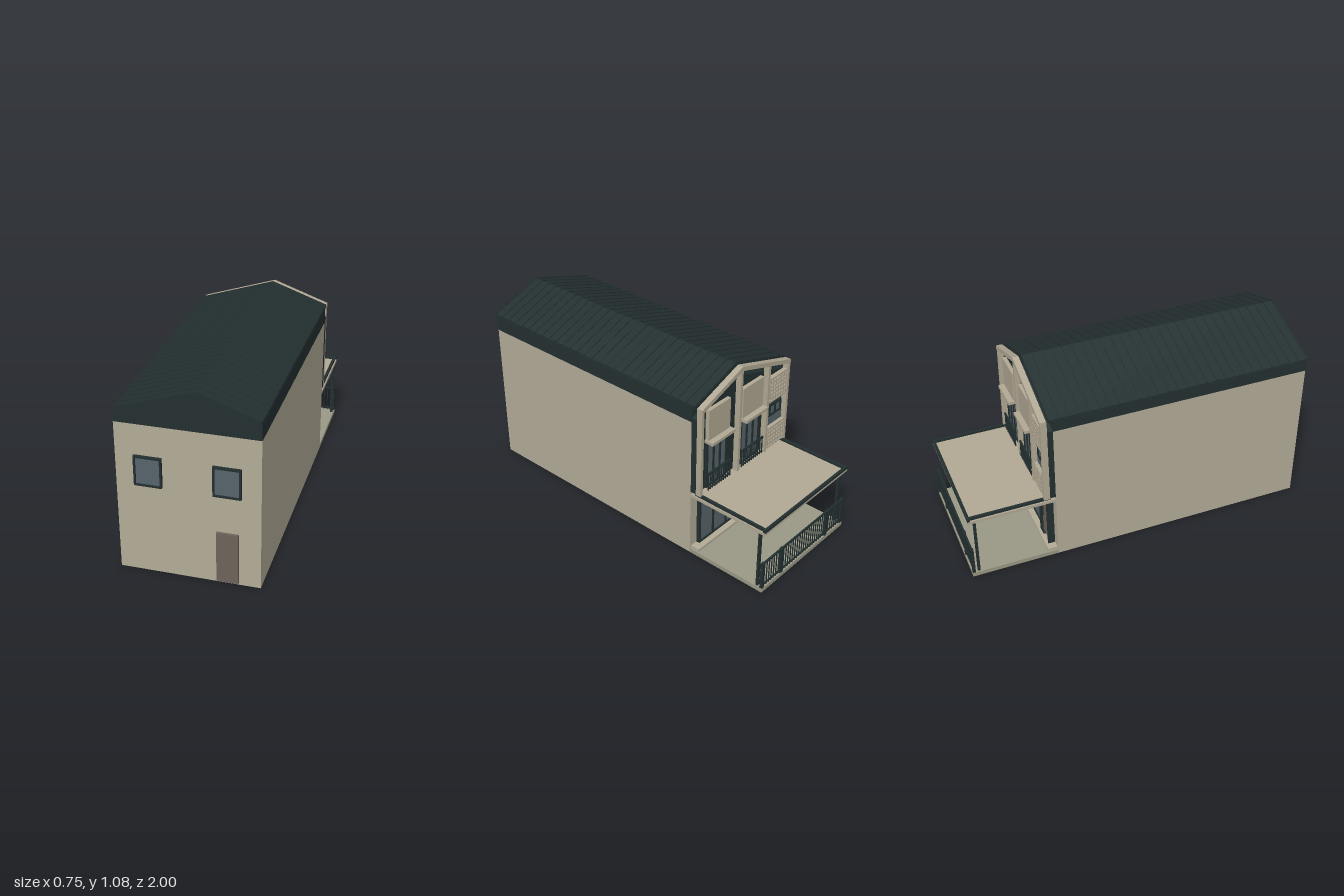
import * as THREE from 'three';

const mat = (name, color) => {
  const m = new THREE.MeshStandardMaterial({ color });
  m.name = name;
  return m;
};

export function createModel() {
  const house = new THREE.Group();
  house.name = 'house';
  const wall = mat('wallBeige', 0xb2ab97);
  const trim = mat('trimBeige', 0xb1a894);
  const dark = mat('darkSlate', 0x232f30);
  const glass = mat('glass', 0x57646b);
  const wood = mat('doorBrown', 0x6e635b);
  const deck = mat('deckGrey', 0x9a9884);

  const add = (name, geo, m, parent = house) => {
    const mesh = new THREE.Mesh(geo, m);
    mesh.name = name;
    parent.add(mesh);
    return mesh;
  };
  // box given by its limits on each axis
  const box = (name, m, x0, x1, y0, y1, z0, z1, parent) => {
    const g = new THREE.BoxGeometry(x1 - x0, y1 - y0, z1 - z0);
    g.translate((x0 + x1) / 2, (y0 + y1) / 2, (z0 + z1) / 2);
    return add(name, g, m, parent);
  };
  // outline in x,y extruded from z0 to z1
  const slab = (name, m, pts, z0, z1, parent, holes = []) => {
    const s = new THREE.Shape(pts.map(p => new THREE.Vector2(...p)));
    for (const h of holes) s.holes.push(new THREE.Path(h.map(p => new THREE.Vector2(...p))));
    const g = new THREE.ExtrudeGeometry(s, { depth: z1 - z0, bevelEnabled: false });
    g.translate(0, 0, z0);
    return add(name, g, m, parent);
  };
  const rect = (x0, x1, y0, y1) => [[x0, y0], [x1, y0], [x1, y1], [x0, y1]];
  const group = name => {
    const g = new THREE.Group();
    g.name = name;
    house.add(g);
    return g;
  };

  const L = -0.377, R = 0.375, RX = 0.053; // side walls and ridge
  const FZ = 0.983, BZ = -0.506;           // front and back walls
  const EL = 0.932, ER = 0.957, RY = 1.071; // eave and ridge heights
  const roofY = x => x < RX ? EL + (RY - EL) * (x - L) / (RX - L) : ER + (RY - ER) * (R - x) / (R - RX);
  // gable-shaped strip following the roof
  const chevron = (top, bottom) => [
    [L, EL - bottom], [RX, RY - bottom], [R, ER - bottom],
    [R, ER - top], [RX, RY - top], [L, EL - top]];

  // body and dark upper band with gables
  box('walls', wall, L, R, 0, 0.856, BZ, FZ);
  slab('gableBand', dark, [[L - 0.001, 0.856], [R + 0.001, 0.856], [R + 0.001, ER - 0.01], [RX, RY - 0.01], [L - 0.001, EL - 0.01]], BZ, FZ + 0.001);

  // roof with standing seams
  const roof = group('roof');
  slab('roofSlab', dark, chevron(0, 0.016), -0.528, 0.992, roof);
  for (let i = 0; i <= 27; i++) {
    const z = -0.525 + i * 0.056;
    slab('roofSeam', dark, chevron(-0.005, 0.001), z, z + 0.004, roof);
  }

  // front windows and door
  for (const x of [-0.205, 0.203]) {
    const w = group('frontWindow');
    slab('windowFrame', dark, rect(x - 0.073, x + 0.073, 0.517, 0.685), FZ, 1.0, w,
      [rect(x - 0.063, x + 0.063, 0.527, 0.675)]);
    box('windowPane', glass, x - 0.063, x + 0.063, 0.527, 0.675, FZ, 0.992, w);
  }
  box('frontDoor', wood, 0.145, 0.26, 0.013, 0.305, FZ, 0.998);

  // glazed frame with equal panes on the back
  const glazing = (name, x0, x1, y0, y1, zOut, n) => {
    const g = group(name), f = 0.012, pw = (x1 - x0 - f) / n;
    const holes = [];
    for (let i = 0; i < n; i++) holes.push(rect(x0 + f + i * pw, x0 + (i + 1) * pw, y0 + f, y1 - f));
    slab('glazingFrame', dark, rect(x0, x1, y0, y1), zOut, zOut + 0.014, g, holes);
    box('glazingPane', glass, x0 + 0.005, x1 - 0.005, y0 + 0.005, y1 - 0.005, zOut + 0.006, zOut + 0.013, g);
  };

  // railing along x with thin balusters
  const railing = (name, x0, x1, y0, y1, z, step) => {
    const g = group(name), n = Math.round((x1 - x0) / step);
    box('topRail', dark, x0, x1, y1 - 0.009, y1, z - 0.005, z + 0.005, g);
    box('bottomRail', dark, x0, x1, y0 + 0.01, y0 + 0.017, z - 0.004, z + 0.004, g);
    for (let i = 0; i <= n; i++) {
      const x = x0 + 0.003 + (x1 - x0 - 0.006) * i / n;
      box('baluster', dark, x - 0.0025, x + 0.0025, y0, y1 - 0.004, z - 0.0025, z + 0.0025, g);
    }
    return g;
  };

  // upper back facade: dark wall, beige verge and columns
  slab('backFacade', dark, [[L, 0.415], [R, 0.415], [R, 0.88], [RX, 1.0], [L, 0.86]], -0.54, BZ);
  slab('backVerge', trim, chevron(0.004, 0.03), -0.575, -0.54);
  for (const x of [L + 0.008, -0.19, RX, R - 0.01])
    box('backColumn', trim, x - 0.009, x + 0.009, 0.41, roofY(x) - 0.015, -0.573, -0.538);

  // two upper bays: panel, ledge, glazed doors and low railing
  for (const x of [0.217, -0.066]) {
    box('bayPanel', trim, x - 0.088, x + 0.088, 0.73, 0.912, -0.563, -0.538);
    box('bayLedge', trim, x - 0.094, x + 0.094, 0.712, 0.73, -0.596, -0.538);
    glazing('bayDoors', x - 0.085, x + 0.085, 0.42, 0.712, -0.552, 3);
    railing('bayRailing', x - 0.094, x + 0.094, 0.418, 0.53, -0.571, 0.019);
  }

  // narrow bay: pierced screens with a small window between
  const screen = (y0, y1, rows) => {
    const x0 = -0.362, x1 = -0.212, cols = 6, b = 0.008, holes = [];
    const w = (x1 - x0 - b) / cols, h = (y1 - y0 - b) / rows;
    for (let i = 0; i < cols; i++) for (let j = 0; j < rows; j++)
      holes.push(rect(x0 + b + i * w, x0 + (i + 1) * w, y0 + b + j * h, y0 + (j + 1) * h));
    slab('piercedScreen', trim, rect(x0, x1, y0, y1), -0.568, -0.543, house, holes);
  };
  screen(0.715, 0.872, 6);
  screen(0.415, 0.55, 5);
  glazing('smallWindow', -0.345, -0.235, 0.61, 0.685, -0.554, 2);
  box('lowerPane', glass, -0.36, -0.214, 0.55, 0.6, -0.547, -0.539);

  // ground floor back: sliding doors, entrance and step
  glazing('slidingDoors', -0.145, 0.32, 0.04, 0.34, -0.528, 4);
  box('slidingDoorSurround', dark, -0.145, 0.32, 0.04, 0.34, -0.515, BZ);
  slab('entranceFrame', dark, rect(-0.325, -0.185, 0.04, 0.345), -0.545, BZ, house, [rect(-0.313, -0.197, 0.04, 0.333)]);
  box('entranceDoor', wood, -0.313, -0.197, 0.04, 0.333, -0.53, BZ);
  box('doorHandle', dark, -0.215, -0.207, 0.16, 0.22, -0.54, -0.53);
  box('backStep', wall, L + 0.01, R - 0.01, 0.024, 0.04, -0.562, BZ);

  // porch: deck, posts, canopy with raised dark edge
  box('porchDeck', deck, L, R, 0, 0.025, -1, BZ);
  box('canopy', trim, L, R, 0.38, 0.398, -0.998, BZ);
  box('canopyBackEdge', dark, L, R, 0.396, 0.412, -1, -0.985);
  for (const s of [-1, 1]) {
    box('canopySideEdge', dark, s * 0.36 - 0.008, s * 0.36 + 0.008, 0.396, 0.412, -0.99, -0.53);
    box('porchPost', dark, s * 0.36 - 0.008, s * 0.36 + 0.008, 0.025, 0.38, -0.968, -0.954);
  }
  const fence = railing('porchRailing', L + 0.004, R - 0.004, 0.025, 0.19, -0.991, 0.021);
  for (const x of [-0.365, -0.215, 0.2, 0.363])
    box('railingPost', dark, x - 0.01, x + 0.01, 0.025, 0.192, -0.999, -0.983, fence);

  return house;
}
